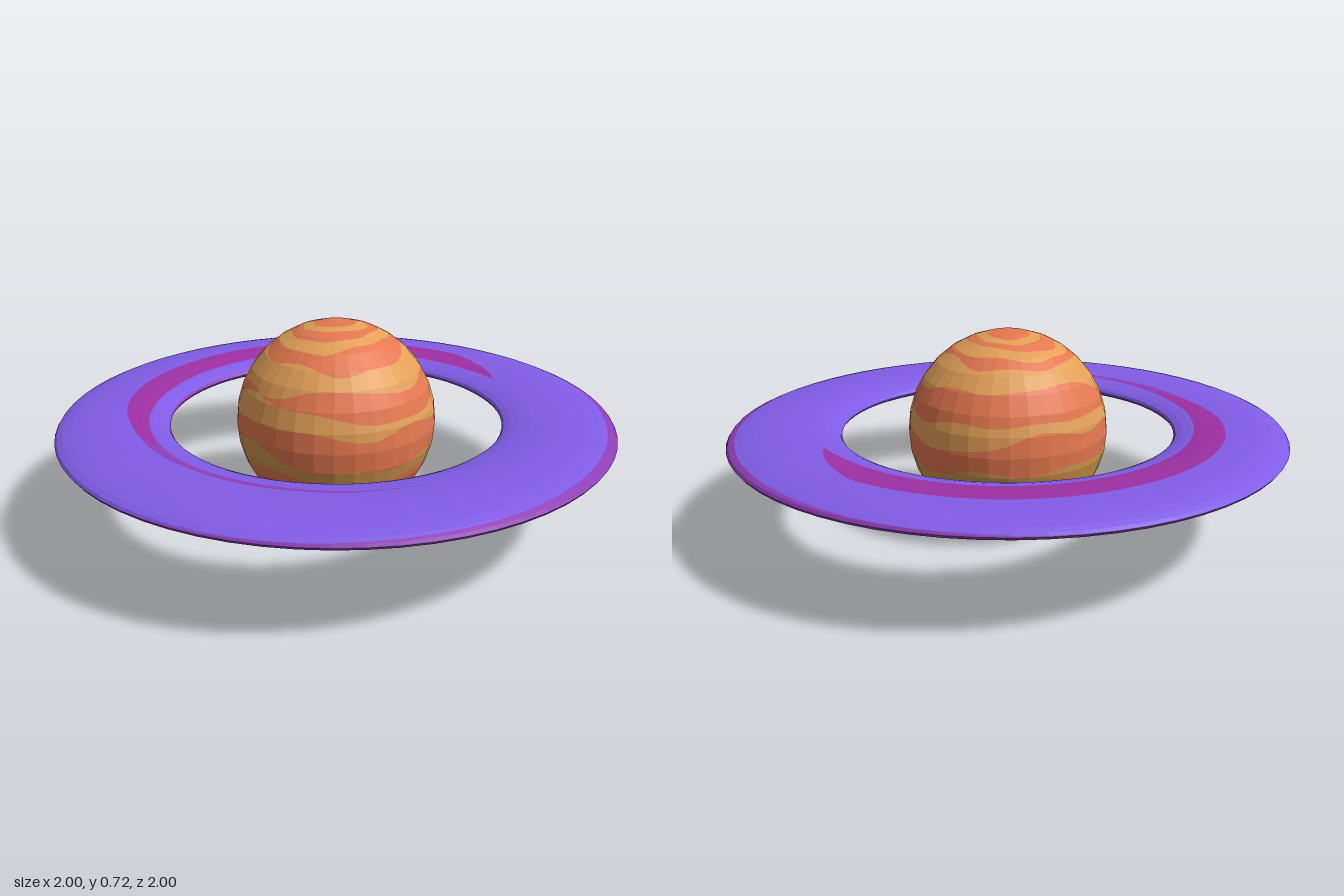
import * as THREE from 'three';

const RAD = Math.PI / 180;
const sin = (deg) => Math.sin(deg * RAD);
const cos = (deg) => Math.cos(deg * RAD);

const material = (name, color) => {
  const m = new THREE.MeshStandardMaterial({ color });
  m.name = name;
  return m;
};

// Keep the part of a polygon where sign * field >= 0
function clip(poly, field, sign) {
  const out = [];
  poly.forEach((a, i) => {
    const b = poly[(i + 1) % poly.length];
    const fa = sign * field(a.u, a.v), fb = sign * field(b.u, b.v);
    if (fa >= 0) out.push(a);
    if ((fa >= 0) !== (fb >= 0)) {
      const t = fa / (fa - fb);
      out.push({
        p: a.p.clone().lerp(b.p, t),
        u: a.u + (b.u - a.u) * t,
        v: a.v + (b.v - a.v) * t,
      });
    }
  });
  return out;
}

// Faceted surface over (u, v) in degrees, cut into colour regions along each layer's field
function paintedSurface(name, point, [u0, u1, nu], [v0, v1, nv], sub, layers) {
  const buffers = layers.map(() => []);
  const area = new THREE.Vector3(), edge = new THREE.Vector3();
  const emit = (poly, buffer) => {
    for (let i = 1; i + 1 < poly.length; i++) {
      const [a, b, c] = [poly[0].p, poly[i].p, poly[i + 1].p];
      area.subVectors(b, a).cross(edge.subVectors(c, a));
      if (area.lengthSq() > 1e-18) buffer.push(...a, ...b, ...c);
    }
  };
  const du = (u1 - u0) / nu, dv = (v1 - v0) / nv;
  for (let i = 0; i < nu; i++) for (let j = 0; j < nv; j++) {
    const ua = u0 + i * du, va = v0 + j * dv;
    const [p00, p10, p01, p11] = [[0, 0], [1, 0], [0, 1], [1, 1]]
      .map(([s, t]) => point(ua + s * du, va + t * dv));
    const at = (s, t) => ({
      p: p00.clone().lerp(p10, s).lerp(p01.clone().lerp(p11, s), t),
      u: ua + s * du,
      v: va + t * dv,
    });
    for (let k = 0; k < sub; k++) for (let l = 0; l < sub; l++) {
      const s = k / sub, t = l / sub, d = 1 / sub;
      let poly = [at(s, t), at(s + d, t), at(s + d, t + d), at(s, t + d)];
      layers.forEach((layer, n) => {
        if (!layer.field) return emit(poly, buffers[n]);
        emit(clip(poly, layer.field, 1), buffers[n]);
        poly = clip(poly, layer.field, -1);
      });
    }
  }
  const group = new THREE.Group();
  group.name = name;
  layers.forEach((layer, n) => {
    const geo = new THREE.BufferGeometry();
    geo.setAttribute('position', new THREE.Float32BufferAttribute(buffers[n], 3));
    geo.computeVertexNormals();
    const mesh = new THREE.Mesh(geo, layer.mat);
    mesh.name = layer.name;
    group.add(mesh);
  });
  return group;
}

// Wavy cloud bands, calmer towards the poles: [latitude, half width]
const northBands = [[75, 3], [61, 4], [40, 8], [13, 5]];
const southBands = [[-14, 5], [-42, 5.5], [-72, 4]];
const bandField = (bands) => (u, v) => Math.max(...bands.map(([lat, half], i) => {
  const phase = lat * 7 + i * 50;
  const calm = cos(v);
  const wave = 3 * sin(u + phase) + calm * (2 * sin(3 * u + phase * 2) + 1.2 * sin(7 * u + 4 * v));
  const width = half * (1 + calm * (0.4 * sin(2 * u + phase * 3) + 0.25 * sin(5 * u - phase)));
  return width - Math.abs(v - lat - wave);
}));

// Swirl on the ring: [angle, inner radius, outer radius]
const swirl = [[27, 0.7, 0.7], [40, 0.69, 0.76], [53, 0.69, 0.81], [90, 0.69, 0.815], [130, 0.68, 0.8],
  [160, 0.67, 0.785], [180, 0.67, 0.765], [205, 0.68, 0.715], [215, 0.69, 0.69]];
const swirlTail = [[190, 0.67, 0.74], [205, 0.675, 0.725], [230, 0.69, 0.715], [270, 0.703, 0.72], [298, 0.71, 0.715]];
const underSwirl = [[95, 0.69, 0.69], [115, 0.66, 0.73], [150, 0.66, 0.73], [175, 0.68, 0.68]];

const RING_MID = 0.8, RING_HALF = 0.2;
const swirlField = (table, side) => (u, v) => {
  const r = RING_MID + RING_HALF * cos(v);
  const i = table.findIndex((row, n) => n > 0 && u <= row[0]);
  if (i < 1 || u < table[0][0] || side * sin(v) < 0) return -0.02;
  const [a, b] = [table[i - 1], table[i]];
  const t = (u - a[0]) / (b[0] - a[0]);
  const inner = a[1] + (b[1] - a[1]) * t, outer = a[2] + (b[2] - a[2]) * t;
  return Math.min(r - inner, outer - r);
};

// Upper colour of the ring, its border wandering along both rims
const upperField = (u, v) => Math.min(
  v - (12 + 22 * cos(u + 12)),
  192 + 28 * cos(u - 318) - v,
);

export function createModel() {
  const model = new THREE.Group();
  model.name = 'ringedPlanet';

  const coral = material('coral', 0xe57850);
  const sand = material('sand', 0xe3a058);
  const ochre = material('ochre', 0xcf964c);
  const violet = material('violet', 0x825de8);
  const magenta = material('magenta', 0x9e30a4);
  const plum = material('plum', 0x903eb8);
  const wine = material('wine', 0x98308c);

  // Planet
  const R = 0.362;
  const spherePoint = (u, v) => new THREE.Vector3(
    R * cos(u) * cos(v), R + 0.003 + R * sin(v), -R * sin(u) * cos(v));
  model.add(paintedSurface('planet', spherePoint, [0, 360, 32], [-90, 90, 16], 5, [
    { name: 'northBands', mat: sand, field: bandField(northBands) },
    { name: 'southBands', mat: ochre, field: bandField(southBands) },
    { name: 'planetSurface', mat: coral },
  ]));

  // Flattened ring
  const ringPoint = (u, v) => {
    const r = RING_MID + RING_HALF * cos(v);
    return new THREE.Vector3(r * cos(u), 0.366 + 0.038 * sin(v), -r * sin(u));
  };
  model.add(paintedSurface('ring', ringPoint, [0, 360, 64], [-90, 270, 24], 3, [
    { name: 'ringSwirl', mat: magenta, field: swirlField(swirl, 1) },
    { name: 'ringSwirlTail', mat: plum, field: swirlField(swirlTail, 1) },
    { name: 'ringTop', mat: violet, field: upperField },
    { name: 'ringUnderSwirl', mat: wine, field: swirlField(underSwirl, -1) },
    { name: 'ringUnderside', mat: plum },
  ]));

  return model;
}
